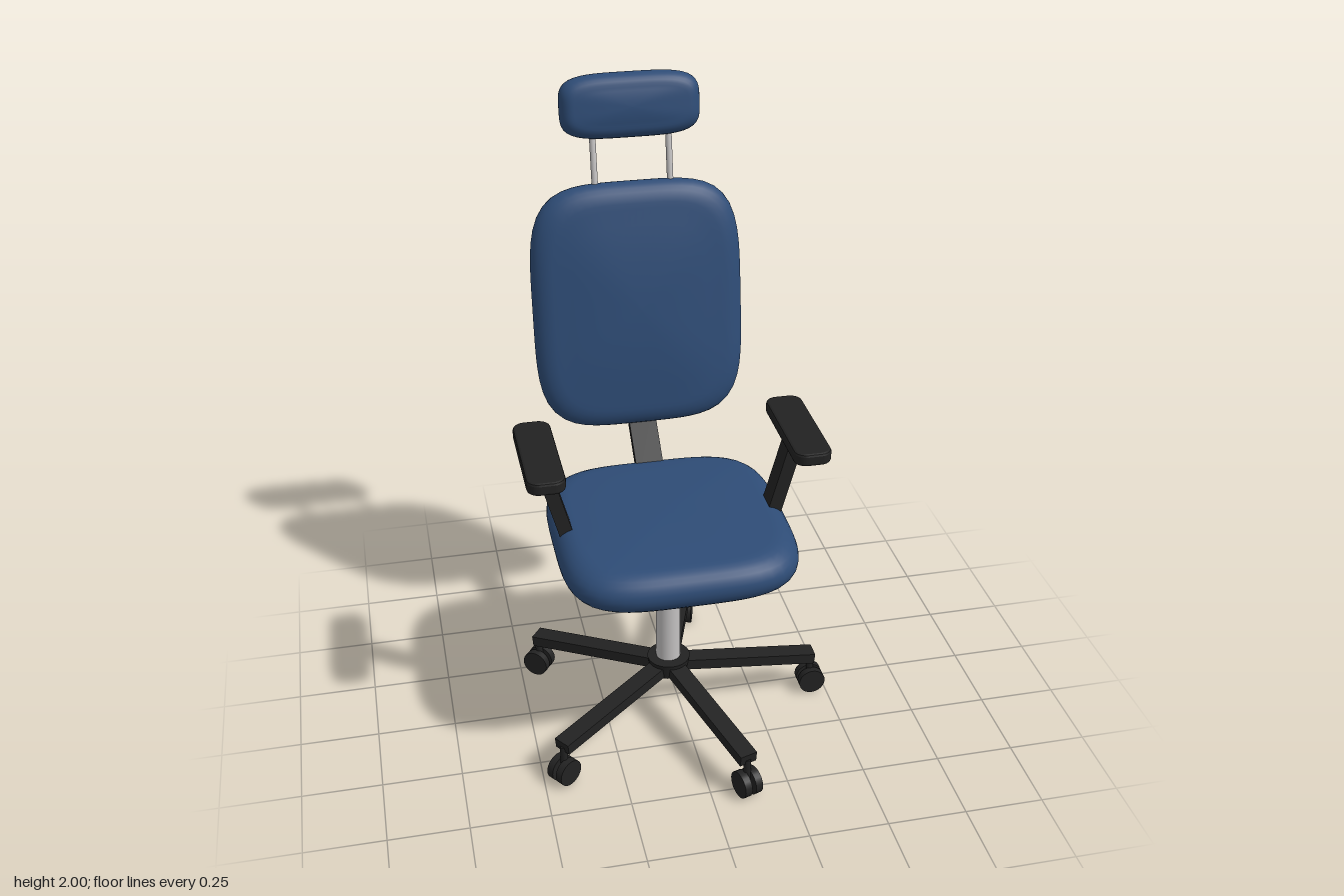
import * as THREE from 'three';

const fabric = new THREE.MeshStandardMaterial({ color: 0x2e4c76 });
fabric.name = 'blue fabric';
const plastic = new THREE.MeshStandardMaterial({ color: 0x222222 });
plastic.name = 'black plastic';
const metal = new THREE.MeshStandardMaterial({ color: 0xc4c2c2 });
metal.name = 'light metal';

// Padded cushion: squircle outline in xz, rounded rim and gently domed faces
function cushionGeometry(a, b, h, r, dome, n = 4) {
  const profile = []; // [inset, scale, y] from bottom centre to top centre
  for (let k = 0; k < 6; k++) profile.push([r, k / 6, -h + dome * (k / 6) ** 2]);
  for (let k = 0; k <= 14; k++) {
    const t = (k / 14 - 0.5) * Math.PI;
    profile.push([r * (1 - Math.cos(t)), 1, (h - dome) * Math.sin(t)]);
  }
  for (let k = 5; k >= 0; k--) profile.push([r, k / 6, h - dome * (k / 6) ** 2]);
  const N = 72, pos = [], idx = [];
  profile.forEach(([d, s, y], i) => {
    for (let j = 0; j < N; j++) {
      const t = (j / N) * Math.PI * 2, c = Math.cos(t), q = Math.sin(t);
      const R = s / (Math.abs(c) ** n + Math.abs(q) ** n) ** (1 / n);
      pos.push(c * R * (a - d), y, q * R * (b - d));
      if (i < profile.length - 1) {
        const p = i * N + j, e = i * N + ((j + 1) % N);
        idx.push(p, p + N, e, e, p + N, e + N);
      }
    }
  });
  const g = new THREE.BufferGeometry();
  g.setAttribute('position', new THREE.Float32BufferAttribute(pos, 3));
  g.setIndex(idx);
  g.computeVertexNormals();
  return g;
}

// Flat slab with rounded corners and bevelled rims, centred, lying in xz
function slabGeometry(w, d, h, r, bevel) {
  const x = w / 2 - bevel, y = d / 2 - bevel, s = new THREE.Shape();
  s.absarc(x - r, y - r, r, 0, Math.PI / 2);
  s.absarc(-x + r, y - r, r, Math.PI / 2, Math.PI);
  s.absarc(-x + r, -y + r, r, Math.PI, Math.PI * 1.5);
  s.absarc(x - r, -y + r, r, Math.PI * 1.5, Math.PI * 2);
  const g = new THREE.ExtrudeGeometry(s, {
    depth: h - 2 * bevel, bevelThickness: bevel, bevelSize: bevel, bevelSegments: 2, curveSegments: 6,
  });
  g.center();
  return g.rotateX(-Math.PI / 2);
}

function add(parent, name, geometry, material, x = 0, y = 0, z = 0) {
  const m = new THREE.Mesh(geometry, material);
  m.name = name;
  m.position.set(x, y, z);
  parent.add(m);
  return m;
}

// Lay a mesh whose length runs along y between two points
function span(mesh, from, to) {
  const p = new THREE.Vector3(...from), q = new THREE.Vector3(...to);
  mesh.position.copy(p).add(q).multiplyScalar(0.5);
  mesh.quaternion.setFromUnitVectors(new THREE.Vector3(0, 1, 0), q.sub(p).normalize());
  return mesh;
}
const dist = (p, q) => Math.hypot(p[0] - q[0], p[1] - q[1], p[2] - q[2]);

function bar(parent, name, from, to, w, d, material) {
  return span(add(parent, name, new THREE.BoxGeometry(w, dist(from, to), d), material), from, to);
}
function rod(parent, name, from, to, r, material) {
  return span(add(parent, name, new THREE.CylinderGeometry(r, r, dist(from, to), 24), material), from, to);
}

export function createModel() {
  const model = new THREE.Group();
  model.name = 'officeChair';
  const chair = new THREE.Group();
  chair.name = 'chair';
  chair.position.x = -0.04;
  model.add(chair);

  // Five-legged base with twin-wheel casters
  const base = new THREE.Group();
  base.name = 'base';
  base.position.z = 0.058;
  chair.add(base);
  add(base, 'hub', new THREE.CylinderGeometry(0.07, 0.06, 0.055, 24), plastic, 0, 0.188, 0);
  for (let i = 0; i < 5; i++) {
    const leg = new THREE.Group();
    leg.name = 'leg' + (i + 1);
    leg.rotation.y = (-i * Math.PI * 2) / 5;
    base.add(leg);
    bar(leg, 'legBeam', [0.02, 0.187, 0], [0.495, 0.138, 0], 0.036, 0.058, plastic);
    add(leg, 'casterStem', new THREE.CylinderGeometry(0.012, 0.012, 0.09, 12), plastic, 0.488, 0.09, 0);
    rod(leg, 'casterAxle', [0.49, 0.045, -0.02], [0.49, 0.045, 0.02], 0.01, plastic);
    for (const s of [-1, 1]) {
      const wheel = add(leg, 'casterWheel', new THREE.CylinderGeometry(0.044, 0.044, 0.024, 24), plastic, 0.49, 0.044, s * 0.019);
      wheel.rotation.x = Math.PI / 2;
    }
  }

  // Gas column and mounting plate
  rod(chair, 'column', [0, 0.19, 0.053], [0, 0.62, 0.053], 0.04, metal);
  add(chair, 'mountingPlate', slabGeometry(0.32, 0.35, 0.055, 0.06, 0.012), plastic, 0, 0.621, 0.053);

  // Seat
  add(chair, 'seat', cushionGeometry(0.368, 0.37, 0.08, 0.075, 0.012), fabric, 0, 0.715, 0.08);

  // Backrest, its support, and the headrest on two rods
  bar(chair, 'backSupport', [0, 0.725, -0.2], [0, 0.905, -0.4], 0.09, 0.028, plastic);
  const back = add(chair, 'backrest', cushionGeometry(0.34, 0.402, 0.076, 0.08, 0.022, 4.2), fabric, 0, 1.27, -0.41);
  back.rotation.x = Math.PI / 2 - 0.148;
  const head = add(chair, 'headrest', cushionGeometry(0.22, 0.1, 0.052, 0.042, 0.008), fabric, 0, 1.9, -0.506);
  head.rotation.x = Math.PI / 2 - 0.15;
  for (const s of [-1, 1]) {
    rod(chair, 'headrestRod', [s * 0.12, 1.6, -0.459], [s * 0.12, 1.88, -0.508], 0.01, metal);
  }

  // Armrests
  for (const s of [-1, 1]) {
    const arm = new THREE.Group();
    arm.name = s > 0 ? 'leftArmrest' : 'rightArmrest';
    chair.add(arm);
    bar(arm, 'armPost', [s * 0.398, 1.022, 0.08], [s * 0.295, 0.64, 0.08], 0.043, 0.072, plastic);
    add(arm, 'armPad', slabGeometry(0.116, 0.384, 0.04, 0.03, 0.008), plastic, s * 0.4, 1.034, 0.092);
  }
  return model;
}
